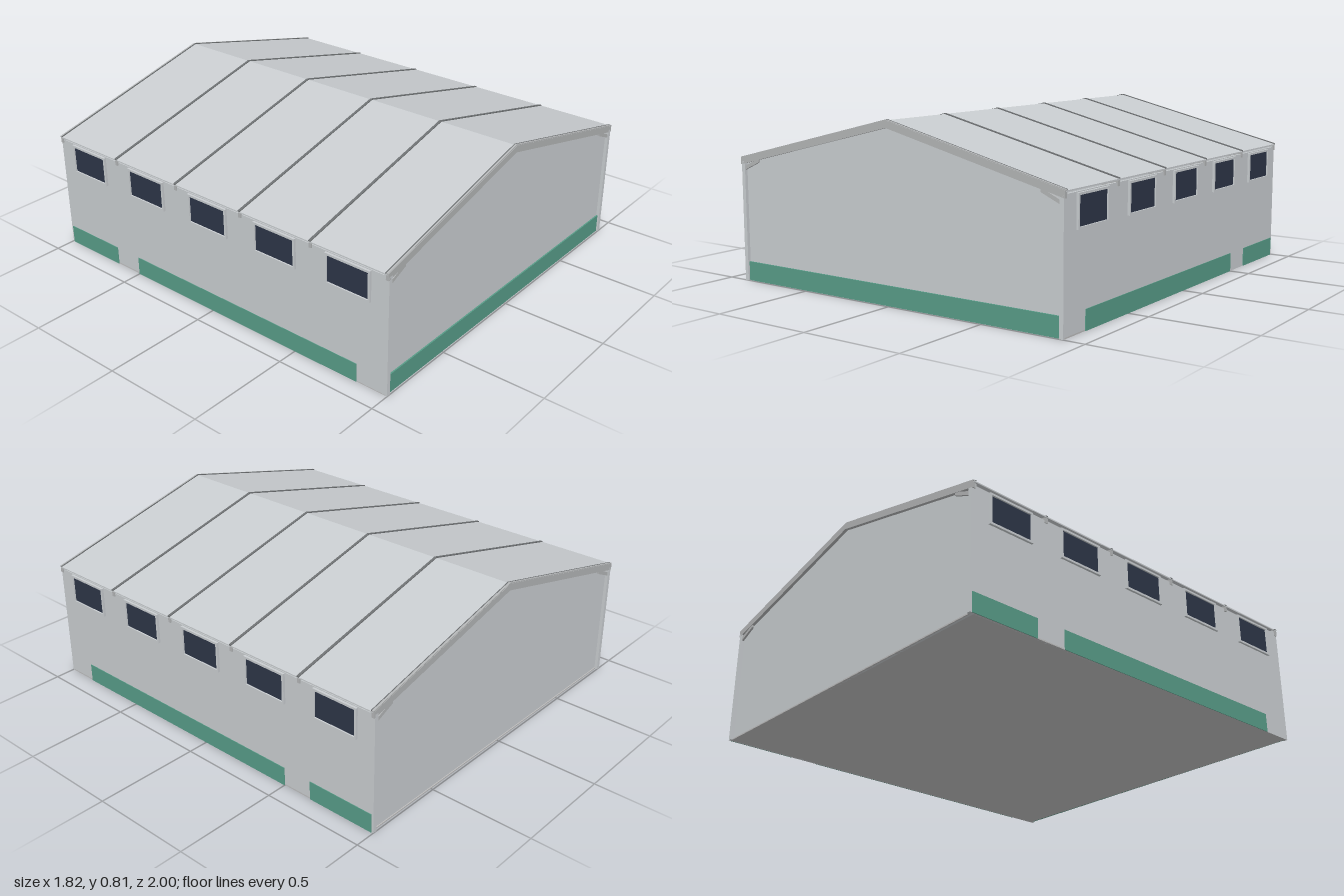
import * as THREE from 'three';

const mat = (name, color) => {
  const m = new THREE.MeshStandardMaterial({ color });
  m.name = name;
  return m;
};

export function createModel() {
  const group = new THREE.Group();
  group.name = 'hall';
  const panel = mat('wall panel grey', 0xc8cccf);
  const steel = mat('steel grey', 0xb2b4b5);
  const seam = mat('seam dark grey', 0x6e7173);
  const green = mat('plinth green', 0x579b87);
  const glass = mat('window dark blue', 0x2d3547);
  const concrete = mat('floor grey', 0xbcbcbc);

  const box = (name, m, x0, x1, y0, y1, z0, z1) => {
    const mesh = new THREE.Mesh(new THREE.BoxGeometry(Math.abs(x1 - x0), y1 - y0, z1 - z0), m);
    mesh.position.set((x0 + x1) / 2, (y0 + y1) / 2, (z0 + z1) / 2);
    mesh.name = name;
    group.add(mesh);
  };
  // Outline in x and y, extruded along z
  const slab = (name, m, points, z0, z1) => {
    const shape = new THREE.Shape(points.map(([x, y]) => new THREE.Vector2(x, y)));
    const geo = new THREE.ExtrudeGeometry(shape, { depth: z1 - z0, bevelEnabled: false });
    geo.translate(0, 0, z0);
    const mesh = new THREE.Mesh(geo, m);
    mesh.name = name;
    group.add(mesh);
  };

  const slope = 0.22 / 0.905;
  // Two-sided pitched strip between a top offset and a bottom offset below the ridge line
  const pitched = (half, top, bottom) => {
    const y = (x, off) => 0.81 - slope * x - off;
    return [[-half, y(half, bottom)], [0, y(0, bottom)], [half, y(half, bottom)],
      [half, y(half, top)], [0, y(0, top)], [-half, y(half, top)]];
  };

  // Floor and roof skin
  box('floor', concrete, -0.9, 0.9, 0, 0.006, -0.99, 0.99);
  slab('roof', panel, pitched(0.908, 0.004, 0.01), -0.995, 0.995);

  // Gable walls, set just behind the end frames
  const eave = 0.8 - slope * 0.9;
  const gable = [[-0.9, 0], [0.9, 0], [0.9, eave], [0, 0.8], [-0.9, eave]];
  slab('frontWall', panel, gable, 0.975, 0.985);
  slab('backWall', panel, gable, -0.985, -0.975);
  box('frontPlinth', green, -0.88, 0.88, 0, 0.09, 0.985, 0.992);

  // Portal frames: rafters, columns and knee braces
  for (let i = 0; i < 6; i++) {
    const z = -0.9925 + i * 0.397;
    const end = i === 0 || i === 5;
    slab('rafter', steel, pitched(0.905, 0.004, 0.036), z - 0.0075, z + 0.0075);
    slab('roofRib', end ? steel : seam, pitched(0.908, 0, 0.006), z - 0.006, z + 0.006);
    if (end) {
      const out = Math.sign(z);
      slab('roofEdgeSeam', seam, pitched(0.909, -0.001, 0.003), z - out * 0.006 - 0.002, z - out * 0.006 + 0.002);
    }
    for (const s of [-1, 1]) {
      box('column', panel, s * 0.88, s * 0.899, 0, 0.57, z - 0.0075, z + 0.0075);
      const brace = [[0.88, 0.53], [0.88, 0.548], [0.79, 0.588], [0.79, 0.57]];
      slab('kneeBrace', steel, brace.map(([x, y]) => [s * x, y]), z - 0.005, z + 0.005);
    }
  }

  // Long walls with windows and plinth, mirrored
  for (const s of [-1, 1]) {
    box('sideWall', panel, s * 0.89, s * 0.9, 0, 0.57, -1, 1);
    box('sidePlinth', green, s * 0.9, s * 0.903, 0, 0.09, -0.5, 0.84);
    box('sidePlinth', green, s * 0.9, s * 0.903, 0, 0.09, -0.99, -0.65);
    for (let i = -2; i <= 2; i++) {
      const z = i * 0.397;
      box('windowPane', glass, s * 0.9, s * 0.904, 0.43, 0.556, z - 0.107, z + 0.107);
      // Raised window surround
      box('windowSill', panel, s * 0.9, s * 0.911, 0.42, 0.43, z - 0.117, z + 0.117);
      box('windowHead', panel, s * 0.9, s * 0.911, 0.556, 0.566, z - 0.117, z + 0.117);
      for (const e of [-1, 1]) {
        const c = z + e * 0.112;
        box('windowJamb', panel, s * 0.9, s * 0.911, 0.43, 0.556, c - 0.005, c + 0.005);
      }
    }
  }
  return group;
}
